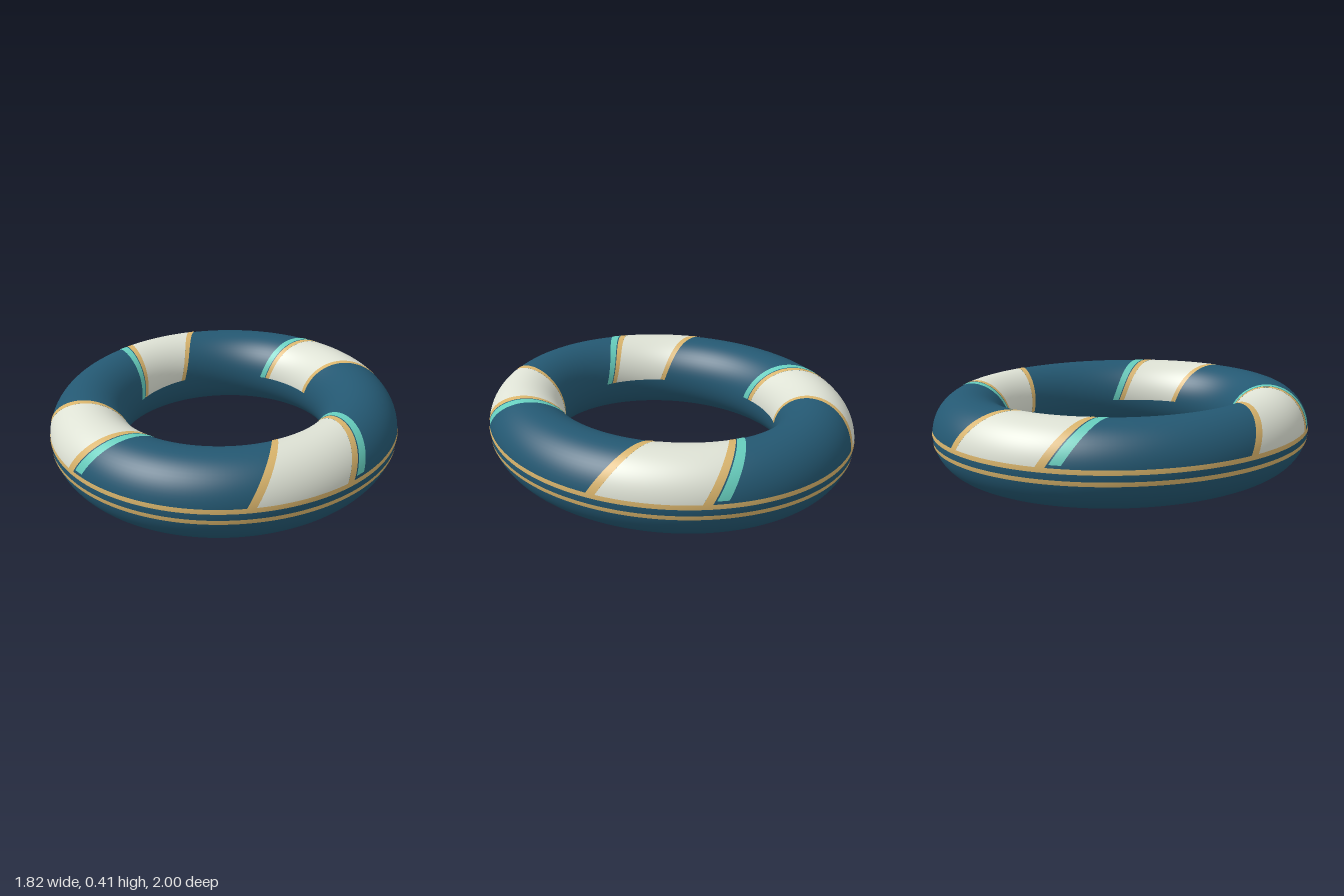
import * as THREE from 'three';
import { ParametricGeometry } from 'three/addons/geometries/ParametricGeometry.js';

const DEG = Math.PI / 180;
const RX = 0.709, RZ = 0.799, TUBE = 0.198, TUBE_Y = 0.205;

// Point on the oval ring: phi runs round the tube (0 outer, 90 top, 180 inner), t round the ring
function ringPoint(phi, t, lift, target) {
  const p = phi * DEG, a = t * DEG;
  const out = (TUBE + lift) * Math.cos(p);
  target.set(
    (RX + out) * Math.cos(a),
    TUBE_Y + (TUBE_Y + lift) * Math.sin(p),
    (RZ + out) * Math.sin(a)
  );
}

// Piece of ring skin between two tube angles and two ring angles, sheared by a twist
function skin(phi0, phi1, t0, t1, lift, twist, nu, nv) {
  return new ParametricGeometry((u, v, target) => {
    const phi = phi0 + (phi1 - phi0) * u;
    const t = t0 + (t1 - t0) * v + twist * (1 - phi / 90);
    ringPoint(phi, t, lift, target);
  }, nu, nv);
}

export function createModel() {
  const group = new THREE.Group();
  const material = (name, color) => {
    const m = new THREE.MeshStandardMaterial({ color });
    m.name = name;
    return m;
  };
  const navy = material('navy', 0x245872);
  const cream = material('cream', 0xdde1d4);
  const gold = material('gold', 0xd9b46c);
  const teal = material('teal', 0x66cdbd);

  const add = (name, geometry, mat, parent = group) => {
    const mesh = new THREE.Mesh(geometry, mat);
    mesh.name = name;
    parent.add(mesh);
  };

  // Inflated ring
  add('ringBody', skin(0, 360, 0, 360, 0, 0, 64, 192), navy);

  // Two thin stripes round the outer edge
  add('upperStripe', skin(1.9, 8.1, 0, 360, 0.003, 0, 3, 192), gold);
  add('lowerStripe', skin(-12.9, -6.7, 0, 360, 0.003, 0, 3, 192), gold);

  // Four slanted bands over the upper half, each edged in gold with a teal line beside it
  const TWIST = 12;
  for (let i = 0; i < 4; i++) {
    const c = 45 + 90 * i;
    const band = new THREE.Group();
    band.name = 'band' + (i + 1);
    const strip = (name, phi0, a, b, lift, mat, n) =>
      add(name, skin(phi0, 180, c + a, c + b, lift, TWIST, 40, n), mat, band);
    strip('bandPanel', 7, -14.3, 14.3, 0.002, cream, 20);
    strip('bandEdgeStart', 6, -17, -14.3, 0.0025, gold, 3);
    strip('bandEdgeEnd', 6, 14.3, 17, 0.0025, gold, 3);
    strip('bandAccent', 12, -20.9, -17.5, 0.0025, teal, 3);
    group.add(band);
  }
  return group;
}
